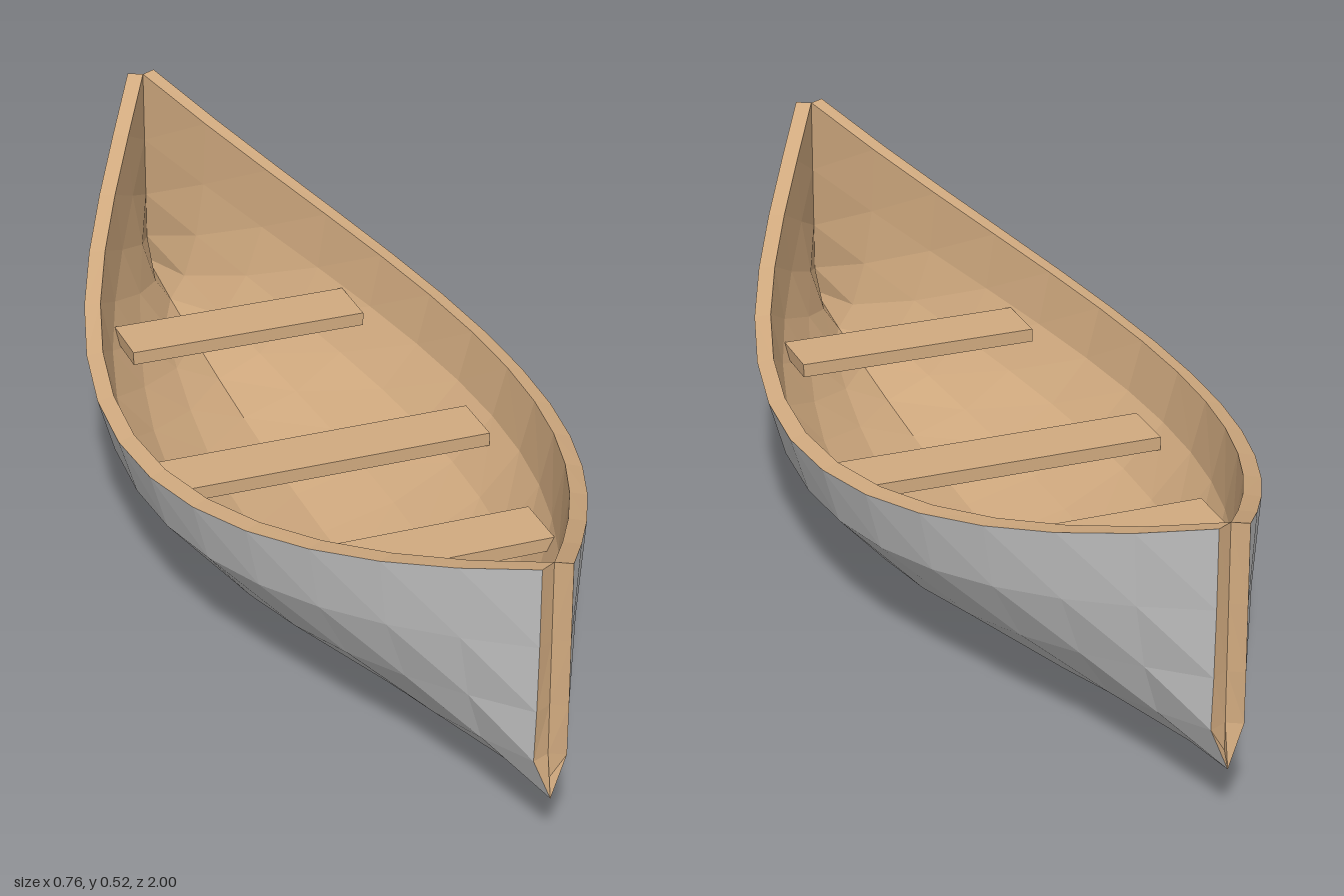
import * as THREE from 'three';

const STATIONS = 14, STRAKES = 8, HALF_LENGTH = 0.985, THICKNESS = 0.03;

const wood = new THREE.MeshStandardMaterial({ color: 0xd2ab80, flatShading: true });
const paint = new THREE.MeshStandardMaterial({ color: 0xcccccc, flatShading: true });

const at = (i, j) => i * (STRAKES + 1) + j;
const sheer = (t) => 0.297 + 0.22 * t * t;
const keel = (t) => 0.03 + 0.09 * t * t;

// Inner skin: sections narrow to a line at both ends, keel and sheer rise
function innerPoints() {
  const p = [];
  for (let i = 0; i <= STATIONS; i++) {
    const t = (2 * i) / STATIONS - 1;
    const halfWidth = 0.35 * Math.cos((t * Math.PI) / 2);
    for (let j = 0; j <= STRAKES; j++) {
      const u = (2 * j) / STRAKES - 1;
      p.push(
        halfWidth * Math.sin((u * Math.PI) / 2),
        keel(t) + (sheer(t) - keel(t)) * Math.pow(Math.abs(u), 1.5),
        t * HALF_LENGTH
      );
    }
  }
  return p;
}

// Triangles of a skin, with diagonals mirrored about both centre planes
function skinIndex(inward) {
  const index = [];
  for (let i = 0; i < STATIONS; i++) {
    for (let j = 0; j < STRAKES; j++) {
      const a = at(i, j), b = at(i, j + 1), c = at(i + 1, j + 1), d = at(i + 1, j);
      const tris = (i >= STATIONS / 2) === (j >= STRAKES / 2)
        ? [a, b, d, b, c, d]
        : [a, b, c, a, c, d];
      index.push(...(inward ? tris.reverse() : tris));
    }
  }
  return index;
}

function makeGeometry(points, index) {
  const g = new THREE.BufferGeometry();
  g.setAttribute('position', new THREE.Float32BufferAttribute(points, 3));
  g.setIndex(index);
  g.computeVertexNormals();
  return g;
}

export function createModel() {
  const boat = new THREE.Group();
  boat.name = 'rowingBoat';

  const add = (name, geometry, material) => {
    const mesh = new THREE.Mesh(geometry, material);
    mesh.name = name;
    boat.add(mesh);
    return mesh;
  };

  // Outer skin is the inner one pushed out along its normals
  const inner = innerPoints();
  const normals = makeGeometry(inner, skinIndex(false)).attributes.normal.array;
  const outer = inner.map((v, k) => v + normals[k] * THICKNESS);

  add('outerHull', makeGeometry(outer, skinIndex(false)), paint);
  add('innerHull', makeGeometry(inner, skinIndex(true)), wood);

  // Strips joining the inner and outer edges
  const both = [...inner, ...outer];
  const offset = inner.length / 3;
  const strip = (name, ids, flip) => {
    const index = [];
    for (let k = 0; k < ids.length - 1; k++) {
      const a = ids[k], b = ids[k + 1], c = b + offset, d = a + offset;
      index.push(...(flip ? [a, d, c, a, c, b] : [a, b, c, a, c, d]));
    }
    add(name, makeGeometry(both, index), wood);
  };
  const along = (j) => Array.from({ length: STATIONS + 1 }, (_, i) => at(i, j));
  const across = (i) => Array.from({ length: STRAKES + 1 }, (_, j) => at(i, j));
  strip('leftGunwale', along(STRAKES), false);
  strip('rightGunwale', along(0), true);
  strip('frontStem', across(STATIONS), true);
  strip('backStem', across(0), false);

  // Bench seats
  for (const [name, width, y, z] of [
    ['frontSeat', 0.45, 0.232, 0.44],
    ['middleSeat', 0.59, 0.19, 0],
    ['backSeat', 0.45, 0.232, -0.44],
  ]) {
    add(name, new THREE.BoxGeometry(width, 0.025, 0.11), wood).position.set(0, y, z);
  }

  return boat;
}
